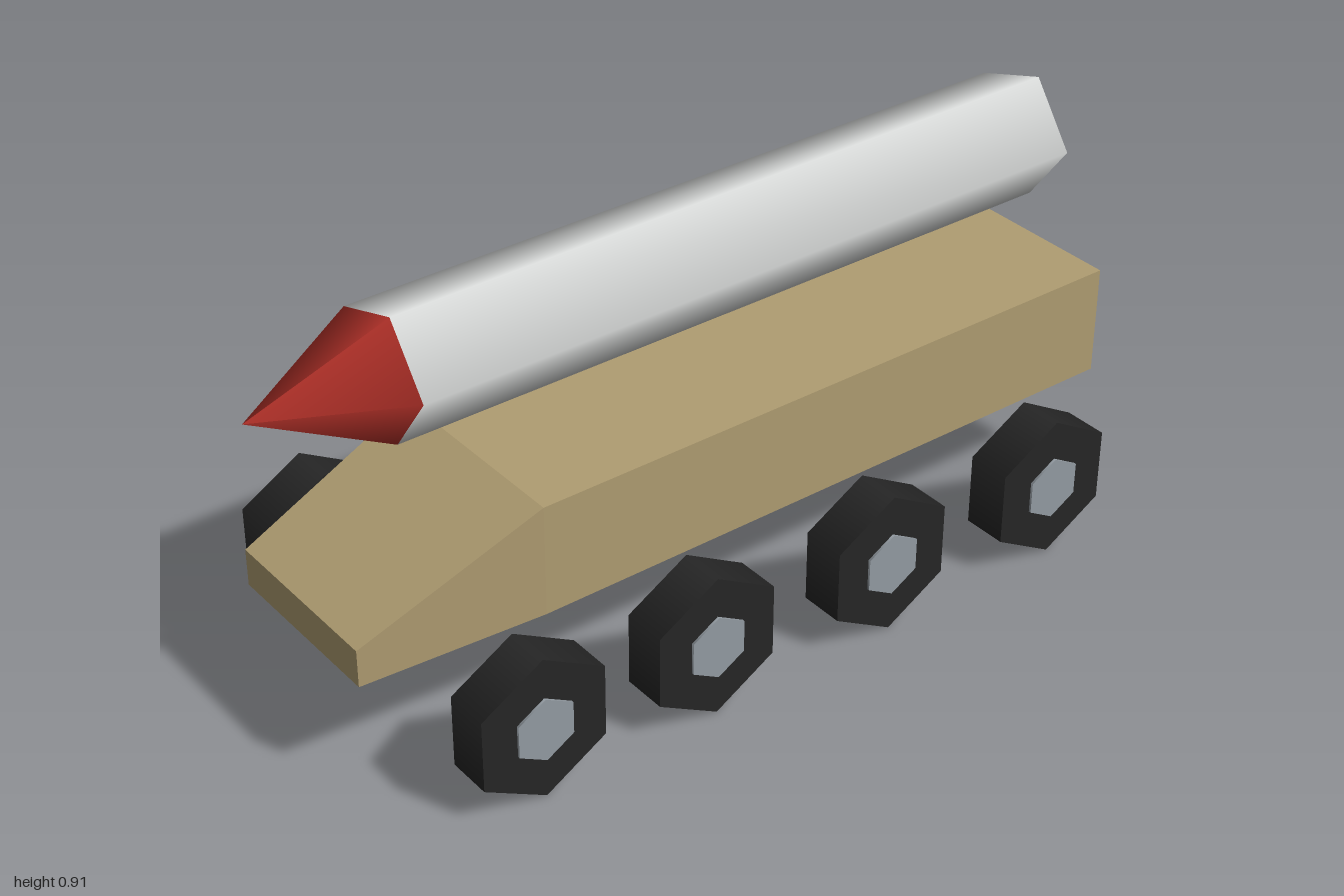
import * as THREE from 'three';

const material = (name, color) => {
  const m = new THREE.MeshStandardMaterial({ color });
  m.name = name;
  return m;
};

// Prism or cone with its axis along z and a corner pointing to +x
function alongZ(front, back, length, sides) {
  return new THREE.CylinderGeometry(front, back, length, sides, 1, false, Math.PI / 2).rotateX(Math.PI / 2);
}

// Hull as a skin over rectangular sections [z, half width, bottom, top]
function hullGeometry(sections) {
  const rings = sections.map(([z, w, b, t]) => [[-w, b, z], [w, b, z], [w, t, z], [-w, t, z]]);
  const pos = [];
  const quad = (a, b, c, d) => [a, b, c, a, c, d].forEach((p) => pos.push(...p));
  for (let i = 0; i < rings.length - 1; i++) {
    const r = rings[i], f = rings[i + 1];
    for (let k = 0; k < 4; k++) {
      const n = (k + 1) % 4;
      quad(r[k], r[n], f[n], f[k]);
    }
  }
  const [a, b, c, d] = rings[0];
  quad(d, c, b, a);
  quad(...rings[rings.length - 1]);
  const g = new THREE.BufferGeometry();
  g.setAttribute('position', new THREE.Float32BufferAttribute(pos, 3));
  g.computeVertexNormals();
  return g;
}

export function createModel() {
  const model = new THREE.Group();
  model.name = 'missileCarrier';
  const sand = material('sand', 0xb09d72);
  const silver = material('silver', 0xd8dad9);
  const red = material('red', 0xb03028);
  const rubber = material('rubber', 0x262626);
  const steel = material('steel', 0x949ca3);

  const add = (parent, name, geometry, mat, x, y, z) => {
    const mesh = new THREE.Mesh(geometry, mat);
    mesh.name = name;
    mesh.position.set(x, y, z);
    parent.add(mesh);
  };

  // Hull with a sloped, tapering nose
  add(model, 'hull', hullGeometry([
    [-1, 0.24, 0.25, 0.505],
    [0.5, 0.24, 0.25, 0.505],
    [0.915, 0.207, 0.247, 0.333],
  ]), sand, 0, 0, 0);

  // Five-sided missile above the hull
  add(model, 'missileBody', alongZ(0.149, 0.149, 1.66, 5), silver, 0, 0.771, -0.13);
  add(model, 'missileNose', alongZ(0, 0.149, 0.3, 5), red, 0, 0.771, 0.85);

  // Four hexagonal wheels on each side
  const hexagon = (r, width) =>
    new THREE.CylinderGeometry(r, r, width, 6, 1, false, Math.PI / 6).rotateZ(Math.PI / 2);
  const tyre = hexagon(0.166, 0.102);
  const hub = hexagon(0.074, 0.113);
  for (const side of [-1, 1]) {
    for (const z of [0.65, 0.23, -0.23, -0.69]) {
      const wheel = new THREE.Group();
      wheel.name = side > 0 ? 'leftWheel' : 'rightWheel';
      wheel.position.set(side * 0.391, 0.166, z);
      add(wheel, 'tyre', tyre, rubber, 0, 0, 0);
      add(wheel, 'hub', hub, steel, 0, 0, 0);
      model.add(wheel);
    }
  }
  return model;
}
